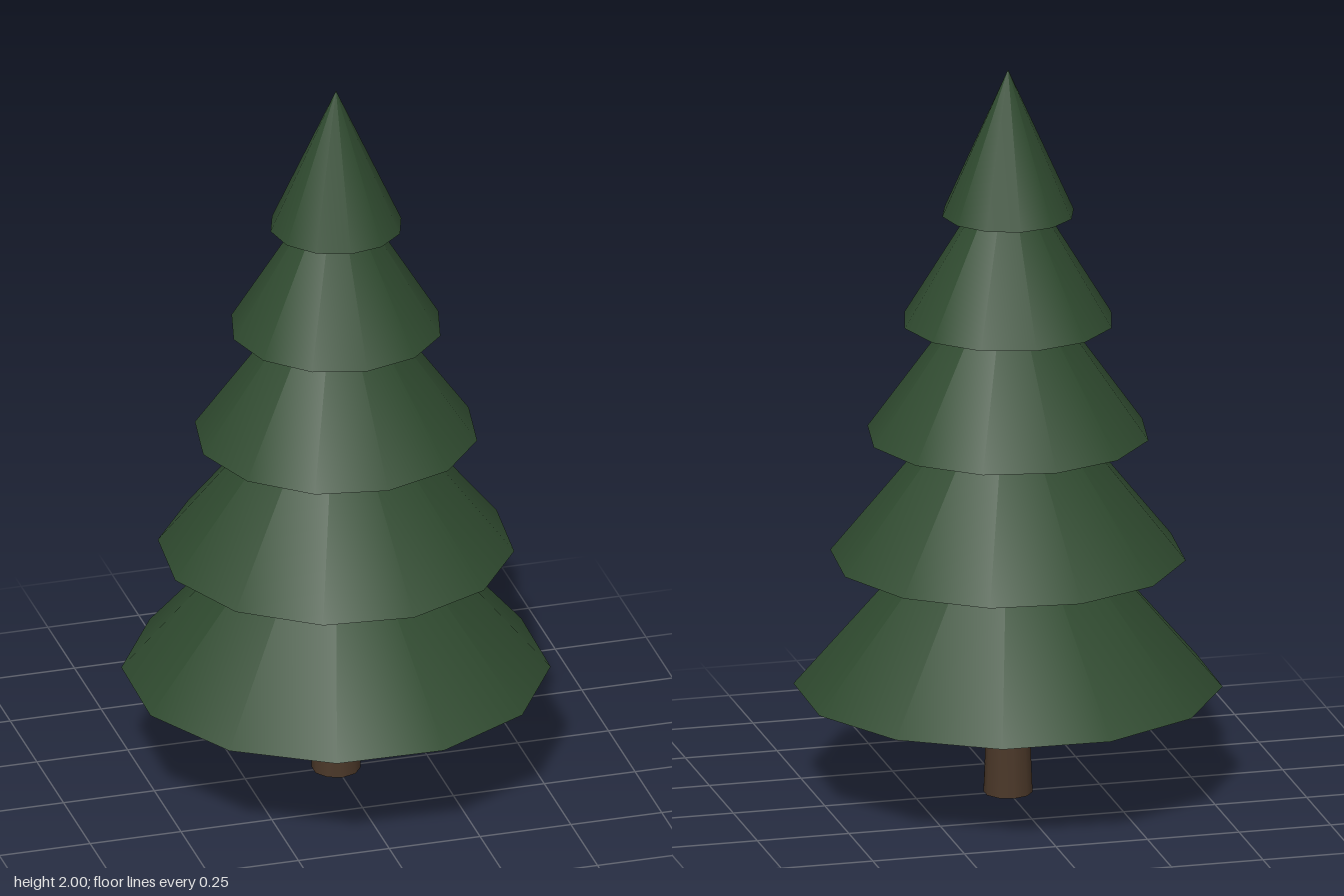
import * as THREE from 'three';

export function createModel() {
  const tree = new THREE.Group();
  tree.name = 'pineTree';

  const needles = new THREE.MeshStandardMaterial({ color: 0x2f4a2f });
  needles.name = 'needle green';
  const bark = new THREE.MeshStandardMaterial({ color: 0x4a3728 });
  bark.name = 'bark brown';

  // Tapered trunk, running up into the lowest tier
  const trunkHeight = 0.4;
  const trunk = new THREE.Mesh(
    new THREE.CylinderGeometry(0.049, 0.065, trunkHeight, 10), bark);
  trunk.name = 'trunk';
  trunk.position.y = trunkHeight / 2;
  tree.add(trunk);

  // Five overlapping cones, each smaller and twisted a little from the last
  const tiers = [
    // base y, radius, height
    [0.295, 0.567, 0.655],
    [0.655, 0.472, 0.585],
    [0.993, 0.377, 0.53],
    [1.306, 0.283, 0.467],
    [1.603, 0.177, 0.397],
  ];
  tiers.forEach(([base, radius, height], i) => {
    const tier = new THREE.Mesh(new THREE.ConeGeometry(radius, height, 12), needles);
    tier.name = `branchTier${i + 1}`;
    tier.position.y = base + height / 2;
    tier.rotation.y = THREE.MathUtils.degToRad(13.9 - 4.35 * i);
    tree.add(tier);
  });

  return tree;
}
